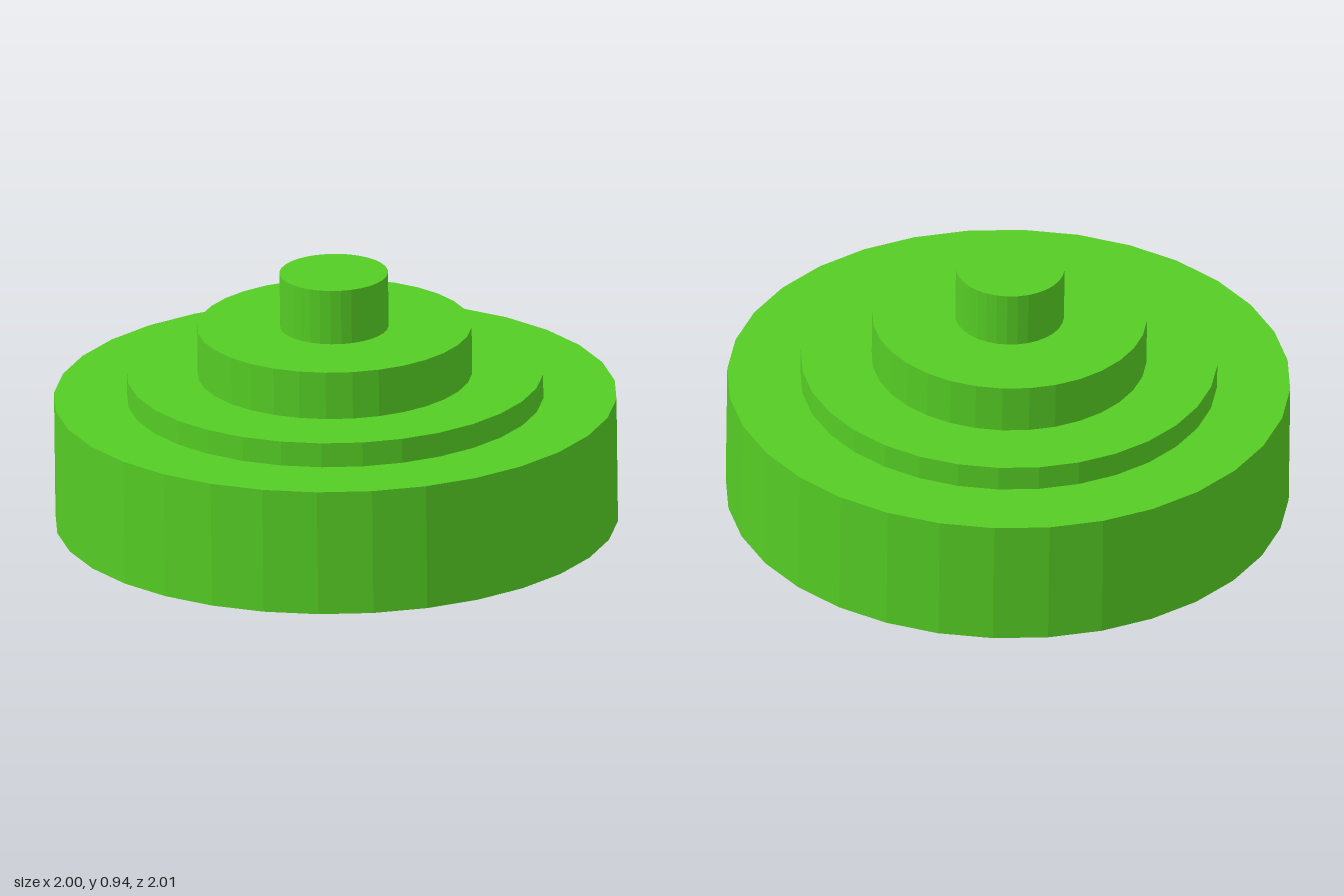
import * as THREE from 'three';

const SIDES = 32;

// Faceted turned surface from a profile of [radius, height] points
function turned(name, color, profile) {
  const points = profile.map(([r, y]) => new THREE.Vector2(r, y));
  const material = new THREE.MeshStandardMaterial({ color, flatShading: true });
  const mesh = new THREE.Mesh(new THREE.LatheGeometry(points, SIDES), material);
  mesh.name = name;
  return mesh;
}

export function createModel() {
  const model = new THREE.Group();
  model.name = 'steppedDisc';

  // Outer shell: rounded inner lip, flat rim, then four steps up to the knob
  const steps = [[1, 0.46], [0.74, 0.55], [0.488, 0.725], [0.193, 0.926]];
  const shell = [[0.745, 0.09], [0.75, 0.045], [0.78, 0.015], [0.83, 0], [1, 0]];
  steps.forEach(([r, top], i) => {
    shell.push([r, top], [i < 3 ? steps[i + 1][0] : 0, top]);
  });
  model.add(turned('outerShell', 0x55cc24, shell));

  // Underside recesses, each stepping deeper towards the centre
  model.add(turned('outerRecess', 0xd8c232,
    [[0.488, 0.264], [0.49, 0.13], [0.5, 0.105], [0.525, 0.09], [0.745, 0.09]]));
  model.add(turned('middleRecess', 0xd45f14, [[0.214, 0.264], [0.488, 0.264]]));
  model.add(turned('centreRecess', 0xe01018,
    [[0, 0.465], [0.193, 0.465], [0.195, 0.3], [0.203, 0.275], [0.214, 0.264]]));

  // The whole stack leans back slightly
  model.rotation.x = -0.0145;
  model.position.set(0, 0.0185, 0.003);
  const root = new THREE.Group();
  root.add(model);
  return root;
}
